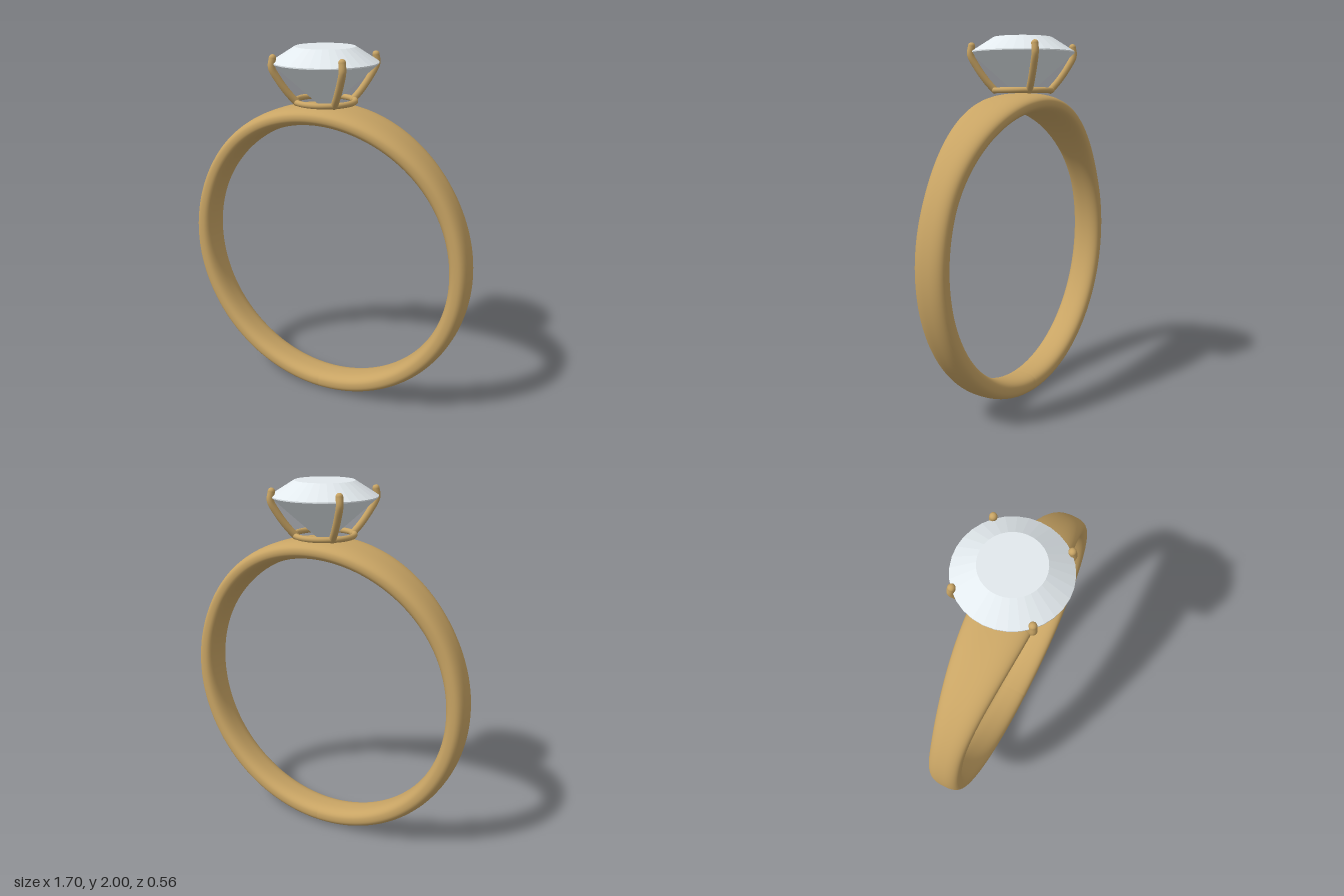
import * as THREE from 'three';

const GOLD = new THREE.MeshStandardMaterial({ color: 0xc8a464 });
const GEM = new THREE.MeshStandardMaterial({ color: 0xe2e9ed, flatShading: true });

function add(parent, name, geometry, material = GOLD) {
  const mesh = new THREE.Mesh(geometry, material);
  mesh.name = name;
  parent.add(mesh);
  return mesh;
}

// Closed band: a softened oval section swept round a circle, widening at the top
function bandGeometry() {
  const radius = 0.798, thick = 0.053, around = 160, sides = 40;
  const geo = new THREE.TorusGeometry(radius, thick, sides, around);
  const pos = geo.attributes.position;
  const soften = (v) => Math.sign(v) * Math.pow(Math.abs(v), 2 / 2.5);
  for (let j = 0; j <= sides; j++) {
    const v = (j / sides) * Math.PI * 2;
    for (let i = 0; i <= around; i++) {
      const fromTop = (i / around) * Math.PI * 2 - Math.PI;
      const flare = 1 - THREE.MathUtils.smoothstep(Math.abs(fromTop), 0, 1.22);
      const r = radius + thick * soften(Math.cos(v));
      const z = (0.09 + 0.075 * flare) * soften(Math.sin(v));
      pos.setXYZ(j * (around + 1) + i, -Math.sin(fromTop) * r, Math.cos(fromTop) * r, z);
    }
  }
  geo.computeVertexNormals();
  // Share normals where the section closes on itself
  const n = geo.attributes.normal;
  const a = new THREE.Vector3(), b = new THREE.Vector3();
  const weld = (p, q) => {
    a.fromBufferAttribute(n, p).add(b.fromBufferAttribute(n, q)).normalize();
    n.setXYZ(p, a.x, a.y, a.z);
    n.setXYZ(q, a.x, a.y, a.z);
  };
  for (let i = 0; i <= around; i++) weld(i, sides * (around + 1) + i);
  return geo;
}

export function createModel() {
  const ring = new THREE.Group();
  ring.name = 'ring';

  add(ring, 'band', bandGeometry()).position.y = 0.854;

  // Setting: base wire and four claws
  const setting = new THREE.Group();
  setting.name = 'setting';
  ring.add(setting);
  const wire = add(setting, 'baseWire', new THREE.TorusGeometry(0.158, 0.015, 14, 64));
  wire.rotation.x = Math.PI / 2;
  wire.position.y = 1.72;

  const clawPath = new THREE.CatmullRomCurve3(
    [[0.155, 1.72], [0.2, 1.77], [0.25, 1.84], [0.284, 1.905], [0.278, 1.95]]
      .map(([r, y]) => new THREE.Vector3(r, y, 0)));
  const clawGeo = new THREE.TubeGeometry(clawPath, 28, 0.019, 12);
  const tipGeo = new THREE.SphereGeometry(0.019, 14, 10);
  for (let i = 0; i < 4; i++) {
    const claw = new THREE.Group();
    claw.name = 'claw';
    claw.rotation.y = Math.PI / 4 + (i * Math.PI) / 2;
    add(claw, 'clawWire', clawGeo);
    for (const t of [0, 1]) add(claw, 'clawEnd', tipGeo).position.copy(clawPath.getPoint(t));
    setting.add(claw);
  }

  // Faceted stone: culet, girdle, crown and flat table
  const stone = [[0, 1.67], [0.28, 1.918], [0.28, 1.924], [0.158, 2], [0, 2]]
    .map(([r, y]) => new THREE.Vector2(r, y));
  add(ring, 'stone', new THREE.LatheGeometry(stone, 32), GEM);

  return ring;
}
